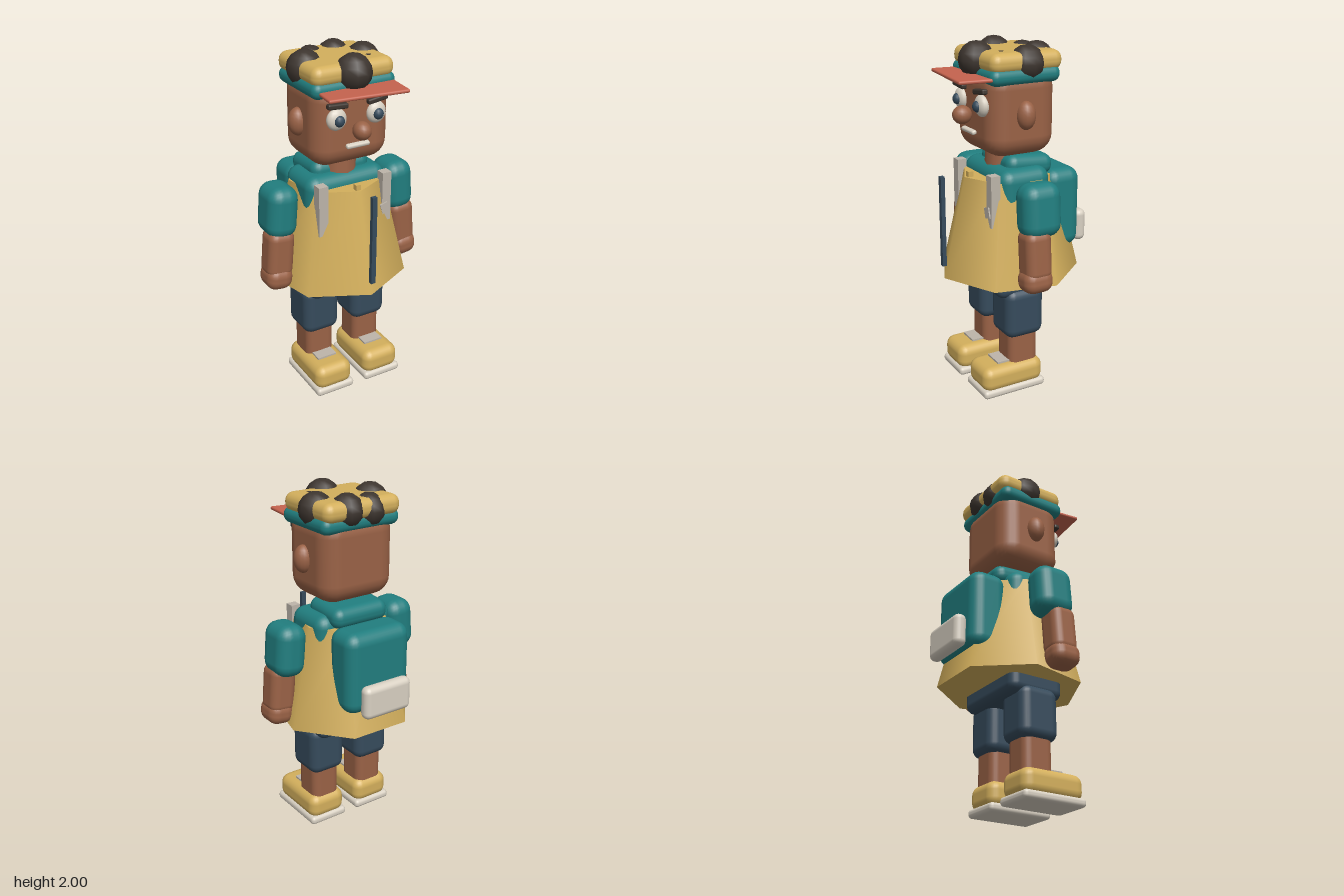
import * as THREE from 'three';
import { RoundedBoxGeometry } from 'three/addons/geometries/RoundedBoxGeometry.js';

const mat = (name, color) => {
  const m = new THREE.MeshStandardMaterial({ color });
  m.name = name;
  return m;
};

export function createModel() {
  const skin = mat('skin brown', 0x9a6246);
  const gold = mat('gold', 0xd3af5c);
  const teal = mat('teal', 0x217e7f);
  const navy = mat('navy', 0x364b5c);
  const dark = mat('dark hair', 0x3d352f);
  const cream = mat('cream', 0xd8d0c2);
  const coral = mat('coral', 0xc5634e);
  const grey = mat('strap grey', 0xbdb5aa);

  const model = new THREE.Group();
  model.name = 'hiker';

  const add = (name, geo, m, pos, rot = [0, 0, 0], parent = model) => {
    const mesh = new THREE.Mesh(geo, m);
    mesh.name = name;
    mesh.position.set(...pos);
    mesh.rotation.set(...rot);
    parent.add(mesh);
    return mesh;
  };
  const round = (w, h, d, r, seg = 3) => new RoundedBoxGeometry(w, h, d, seg, r);
  const ball = (rx, ry, rz, ws = 16, hs = 12) => new THREE.SphereGeometry(1, ws, hs).scale(rx, ry, rz);

  // Head and neck
  add('head', round(0.47, 0.48, 0.41, 0.11), skin, [0, 1.63, 0.025]);
  add('neck', new THREE.CylinderGeometry(0.1, 0.11, 0.16, 12), skin, [0, 1.36, 0.035]);
  add('nose', ball(0.049, 0.051, 0.055), skin, [0, 1.61, 0.29]);
  add('mouth', round(0.14, 0.024, 0.03, 0.01), cream, [0, 1.52, 0.25], [0.3, 0, 0]);

  // Cap with band, crown and brim
  add('capBand', round(0.5, 0.09, 0.42, 0.043), teal, [0, 1.83, 0.025]);
  add('capCrown', round(0.49, 0.11, 0.43, 0.05), gold, [0, 1.9, 0.015]);
  add('capBrim', round(0.45, 0.02, 0.19, 0.009, 2), coral, [0, 1.823, 0.29], [0, -0.112, 0]);

  // Curls around and through the cap: x, y, z, radius
  const curls = [
    [-0.176, 1.895, 0, 0.1], [0.18, 1.89, -0.005, 0.097], [0, 1.9, 0.2, 0.1],
    [0.07, 1.895, -0.13, 0.092], [-0.075, 1.88, -0.125, 0.092],
    [0.135, 1.866, 0.125, 0.092], [-0.13, 1.861, 0.13, 0.092],
  ];
  for (const [x, y, z, r] of curls) add('curl', ball(r, r, r, 10, 8), dark, [x, y, z]);

  // Torso, collar and flared seven-sided coat
  add('shirt', round(0.5, 0.5, 0.31, 0.07), teal, [0, 1.075, 0.02]);
  add('hood', round(0.36, 0.12, 0.29, 0.055), teal, [0, 1.32, -0.045], [-0.08, 0, 0]);
  add('coat', new THREE.CylinderGeometry(0.27, 0.408, 0.575, 7), gold, [0, 0.972, 0.011]);
  add('zipper', new THREE.BoxGeometry(0.028, 0.52, 0.024), navy, [0, 1.023, 0.42]);
  add('collarButton', new THREE.BoxGeometry(0.03, 0.04, 0.03), gold, [0, 1.27, 0.25]);
  add('strapBuckle', new THREE.BoxGeometry(0.05, 0.06, 0.04), grey, [0.188, 1.1, 0.225], [0, 0, 0.3]);
  add('pelvis', round(0.5, 0.17, 0.34, 0.05), navy, [0, 0.67, 0.03]);

  // Backpack
  add('backpack', round(0.42, 0.47, 0.22, 0.07), teal, [0, 1.045, -0.247]);
  add('backpackPocket', round(0.31, 0.19, 0.075, 0.035), cream, [0, 0.905, -0.397]);

  for (const s of [1, -1]) {
    const side = s > 0 ? 'left' : 'right';

    // Face details
    add(side + 'Eye', ball(0.058, 0.06, 0.035), cream, [s * 0.12, 1.675, 0.232]);
    add(side + 'Pupil', ball(0.03, 0.031, 0.025, 12, 8), navy, [s * 0.118, 1.673, 0.26]);
    add(side + 'Brow', round(0.12, 0.03, 0.035, 0.01, 2), dark, [s * 0.12, 1.75, 0.242],
      [0, 0, s > 0 ? 0.14 : -0.07]);
    add(side + 'Ear', ball(0.055, 0.078, 0.053), skin, [s * 0.24, 1.625, 0.033]);

    // Shoulder strap
    add(side + 'Strap', new THREE.BoxGeometry(0.056, 0.29, 0.055), grey, [s * 0.2, 1.165, 0.21]);

    // Arm
    add(side + 'Sleeve', round(0.18, 0.3, 0.23, 0.075), teal, [s * 0.373, 1.14, 0.03], [0, 0, s * 0.08]);
    add(side + 'Forearm', round(0.155, 0.28, 0.155, 0.05), skin, [s * 0.398, 0.9, 0.065], [0, 0, s * 0.08]);
    add(side + 'Hand', round(0.155, 0.135, 0.175, 0.058), skin, [s * 0.413, 0.757, 0.07], [0, 0, s * 0.12]);

    // Leg
    add(side + 'TrouserLeg', round(0.225, 0.3, 0.24, 0.055), navy, [s * 0.158, 0.485, 0.035]);
    add(side + 'Shin', round(0.175, 0.3, 0.185, 0.045), skin, [s * 0.158, 0.27, 0.035]);

    // Shoe
    add(side + 'Shoe', round(0.235, 0.15, 0.385, 0.055), gold, [s * 0.16, 0.108, 0.113]);
    add(side + 'Sole', round(0.245, 0.05, 0.395, 0.022), cream, [s * 0.16, 0.03, 0.113]);
    add(side + 'Laces', new THREE.BoxGeometry(0.12, 0.02, 0.075), grey, [s * 0.16, 0.184, 0.16]);
  }
  return model;
}
